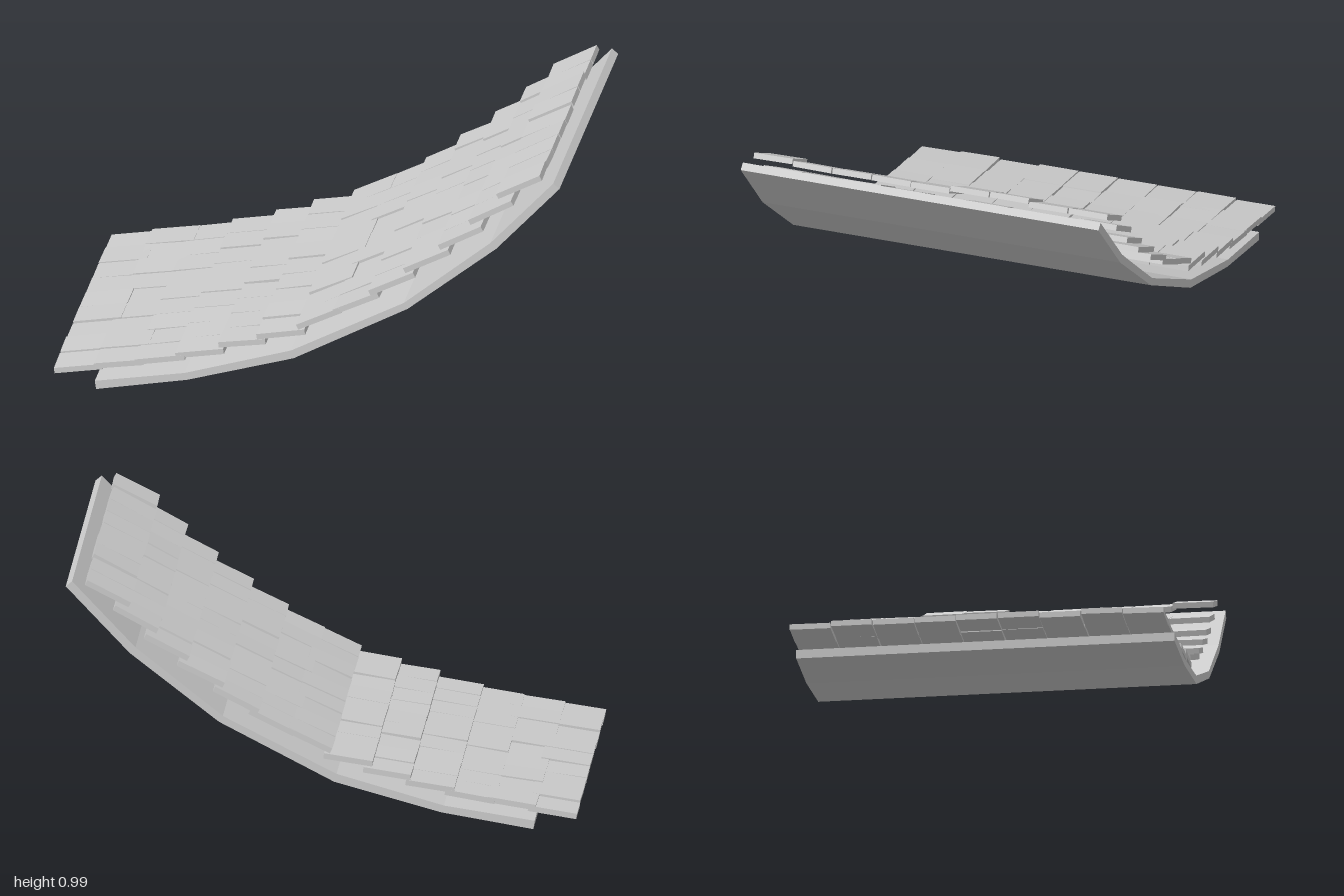
import * as THREE from 'three';

// Seeded value in -1..1
function makeJitter(seed) {
  let s = seed;
  return () => {
    s = (s * 16807) % 2147483647;
    return (s / 2147483647) * 2 - 1;
  };
}

export function createModel() {
  const model = new THREE.Group();
  model.name = 'curvedRoofSection';
  const grey = new THREE.MeshStandardMaterial({ color: 0xcccccc });
  grey.name = 'roofGrey';

  // Curved base panel: faceted profile run along z
  const lower = [[-0.83, 0], [-0.47, 0.06], [-0.05, 0.175], [0.4, 0.408], [0.75, 0.68], [1, 0.945]];
  const upper = [[-0.835, 0.034], [-0.48, 0.088], [-0.06, 0.207], [0.385, 0.432], [0.727, 0.703], [0.975, 0.966]];
  const profile = [...lower, ...upper.reverse()].map(([x, y]) => new THREE.Vector2(x, y));
  const panelGeometry = new THREE.ExtrudeGeometry(new THREE.Shape(profile), { depth: 1.485, bevelEnabled: false });
  panelGeometry.translate(0, 0, -0.74);
  const panel = new THREE.Mesh(panelGeometry, grey);
  panel.name = 'roofPanel';
  model.add(panel);

  // Overlapping shingle courses: eave end and ridge end of each centre line
  const courses = [
    [-1, 0.062, -0.81, 0.089], [-0.84, 0.086, -0.65, 0.113], [-0.68, 0.112, -0.485, 0.143],
    [-0.52, 0.15, -0.33, 0.18], [-0.35, 0.203, -0.165, 0.231], [-0.2, 0.251, -0.01, 0.282],
    [-0.04, 0.301, 0.13, 0.38], [0.105, 0.368, 0.28, 0.451], [0.245, 0.456, 0.42, 0.542],
    [0.382, 0.558, 0.56, 0.645], [0.52, 0.666, 0.69, 0.752], [0.64, 0.77, 0.81, 0.86],
    [0.75, 0.877, 0.92, 0.965],
  ];
  const columns = 9, pitch = 0.1633, thickness = 0.022;
  const jitter = makeJitter(4127);
  courses.forEach(([x0, y0, x1, y1], row) => {
    const course = new THREE.Group();
    course.name = `shingleCourse${row + 1}`;
    const tile = new THREE.BoxGeometry(Math.hypot(x1 - x0, y1 - y0), thickness, pitch - 0.004);
    for (let i = 0; i < columns; i++) {
      const shingle = new THREE.Mesh(tile, grey);
      shingle.name = 'shingle';
      // Some shingles of the top course sit proud of the rest
      const raised = row === courses.length - 1
        ? ([2, 3, 8].includes(i) ? 0.012 : 0)
        : jitter() * 0.005;
      shingle.position.set((x0 + x1) / 2, (y0 + y1) / 2 + raised, -0.748 + pitch * (i + 0.5));
      shingle.rotation.set(jitter() * 0.012, jitter() * 0.015, Math.atan2(y1 - y0, x1 - x0) + jitter() * 0.015);
      course.add(shingle);
    }
    model.add(course);
  });
  return model;
}
